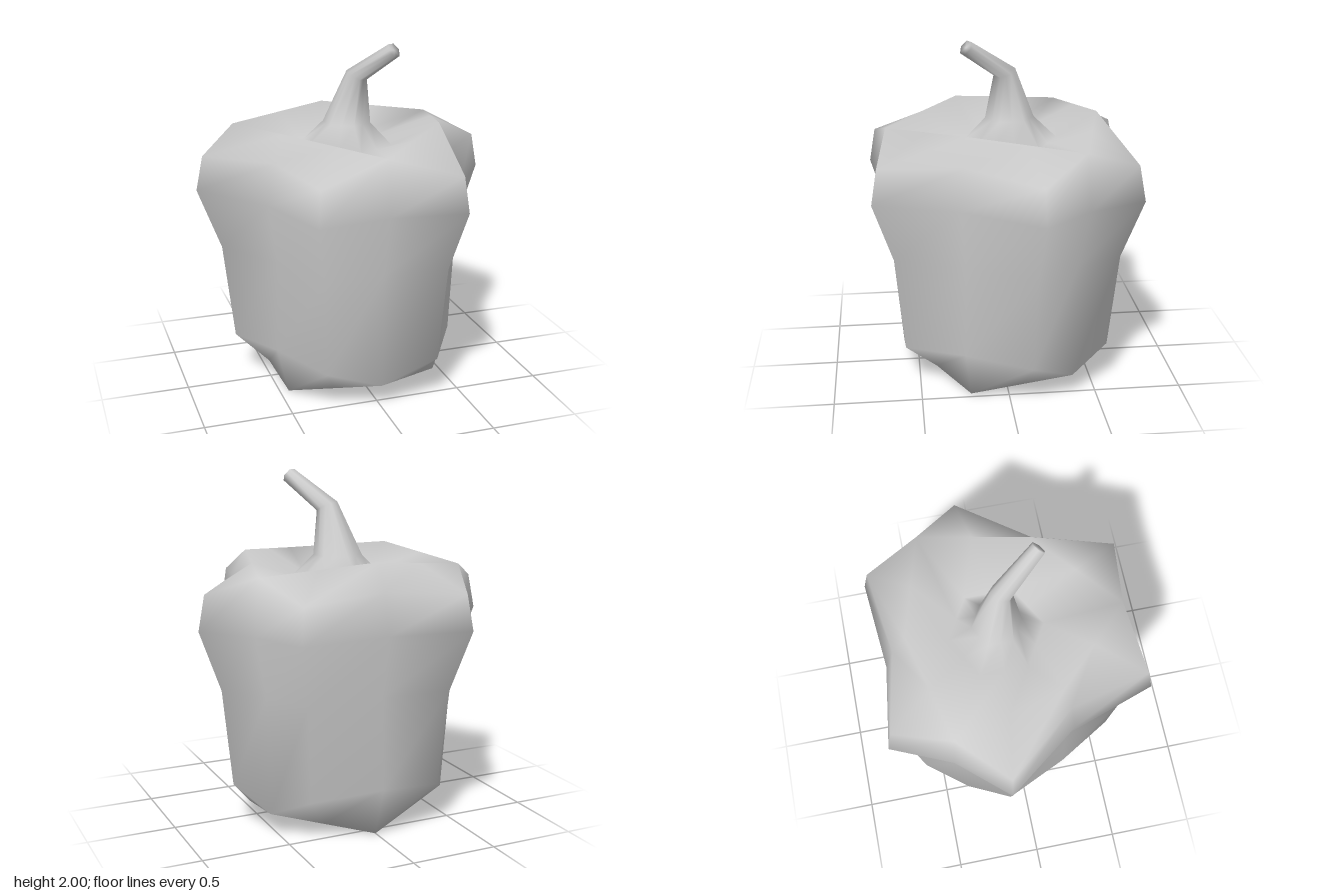
import * as THREE from 'three';
import { mergeVertices } from 'three/addons/utils/BufferGeometryUtils.js';

const COLUMNS = 12;

// Skin a stack of closed rings (bottom to top) with smooth normals.
function loft(rings) {
  const n = COLUMNS, index = [];
  for (let i = 0; i < rings.length - 1; i++) {
    for (let j = 0; j < n; j++) {
      const k = (j + 1) % n;
      const a = i * n + j, b = i * n + k, c = a + n, d = b + n;
      index.push(a, b, d, a, d, c);
    }
  }
  let geo = new THREE.BufferGeometry();
  geo.setAttribute('position', new THREE.Float32BufferAttribute(rings.flat().flatMap(p => p.toArray()), 3));
  geo.setIndex(index);
  geo = mergeVertices(geo, 1e-4);
  geo.computeVertexNormals();
  return geo;
}

// Widest outline (x, z), counterclockwise from the front: side, corner, lobe, corner, side...
const OUTLINE = [
  [0, 0.69], [0.43, 0.745], [0.58, 0.27], [0.875, -0.15], [0.65, -0.42], [0.52, -0.745],
  [0, -0.70], [-0.48, -0.765], [-0.63, -0.42], [-0.875, -0.14], [-0.56, 0.28], [-0.41, 0.755],
];
const kind = j => (j % 2 ? 'corner' : j % 4 === 0 ? 'side' : 'lobe');

// Scale the outline and set the height separately for each kind of column.
function ring(spec) {
  return OUTLINE.map(([x, z], j) => {
    const [s, y] = spec[kind(j)];
    return new THREE.Vector3(x * s, y, z * s);
  });
}

// Straighten a ring to the hexagon through its sides and lobes.
function hexagon(r) {
  return r.map((p, j) => (j % 2 ? r[j - 1].clone().lerp(r[(j + 1) % COLUMNS], 0.5) : p));
}

// Six-sided ring around a centre, facing the given direction.
function disc([x, y, z], radius, dir = [0, 1, 0]) {
  const q = new THREE.Quaternion().setFromUnitVectors(
    new THREE.Vector3(0, 1, 0), new THREE.Vector3(...dir).normalize());
  return hexagon(OUTLINE.map((_, j) => {
    const a = (j / COLUMNS) * Math.PI * 2;
    return new THREE.Vector3(Math.sin(a) * radius, 0, Math.cos(a) * radius)
      .applyQuaternion(q).add(new THREE.Vector3(x, y, z));
  }));
}

export function createModel() {
  const group = new THREE.Group();
  const material = new THREE.MeshStandardMaterial({ color: 0xcccccc, side: THREE.DoubleSide });

  // Lobed fruit body with a hollow underside and a dished top
  const body = [
    disc([0, 0.15, 0], 0),
    hexagon(ring({ side: [0.55, 0.145], corner: [0, 0], lobe: [0.54, 0.075] })),
    hexagon(ring({ side: [0.85, 0.135], corner: [0, 0], lobe: [0.8, 0] })),
    ring({ side: [0.85, 0.135], corner: [0.78, 0.25], lobe: [0.93, 0.285] }),
    ring({ side: [0.88, 0.81], corner: [0.85, 0.81], lobe: [0.9, 0.81] }),
    ring({ side: [1, 1.16], corner: [1, 1.16], lobe: [1, 1.16] }),
    ring({ side: [0.95, 1.475], corner: [0.955, 1.36], lobe: [0.92, 1.39] }),
    hexagon(ring({ side: [0.95, 1.475], corner: [0, 0], lobe: [0.8, 1.54] })),
  ];

  // Bent six-sided stem with a flared foot and a flat tip
  const tip = [0.19, 1.963, 0.205], lean = [0.44, 0.57, 0.69];
  const stem = [
    disc([0, 1.39, -0.06], 0.27),
    disc([0, 1.52, -0.055], 0.14),
    disc([0.05, 1.795, -0.02], 0.064, [0.27, 0.9, 0.3]),
    disc(tip, 0.045, lean),
    disc(tip, 0, lean),
  ];

  // One welded skin, divided where the stem leaves the dish
  const skin = loft([...body, ...stem]);
  const indices = Array.from(skin.index.array);
  const split = body.length * COLUMNS * 6;
  const parts = { fruitBody: indices.slice(0, split), stem: indices.slice(split) };
  for (const [name, part] of Object.entries(parts)) {
    const mesh = new THREE.Mesh(skin.clone().setIndex(part), material);
    mesh.name = name;
    group.add(mesh);
  }
  return group;
}
